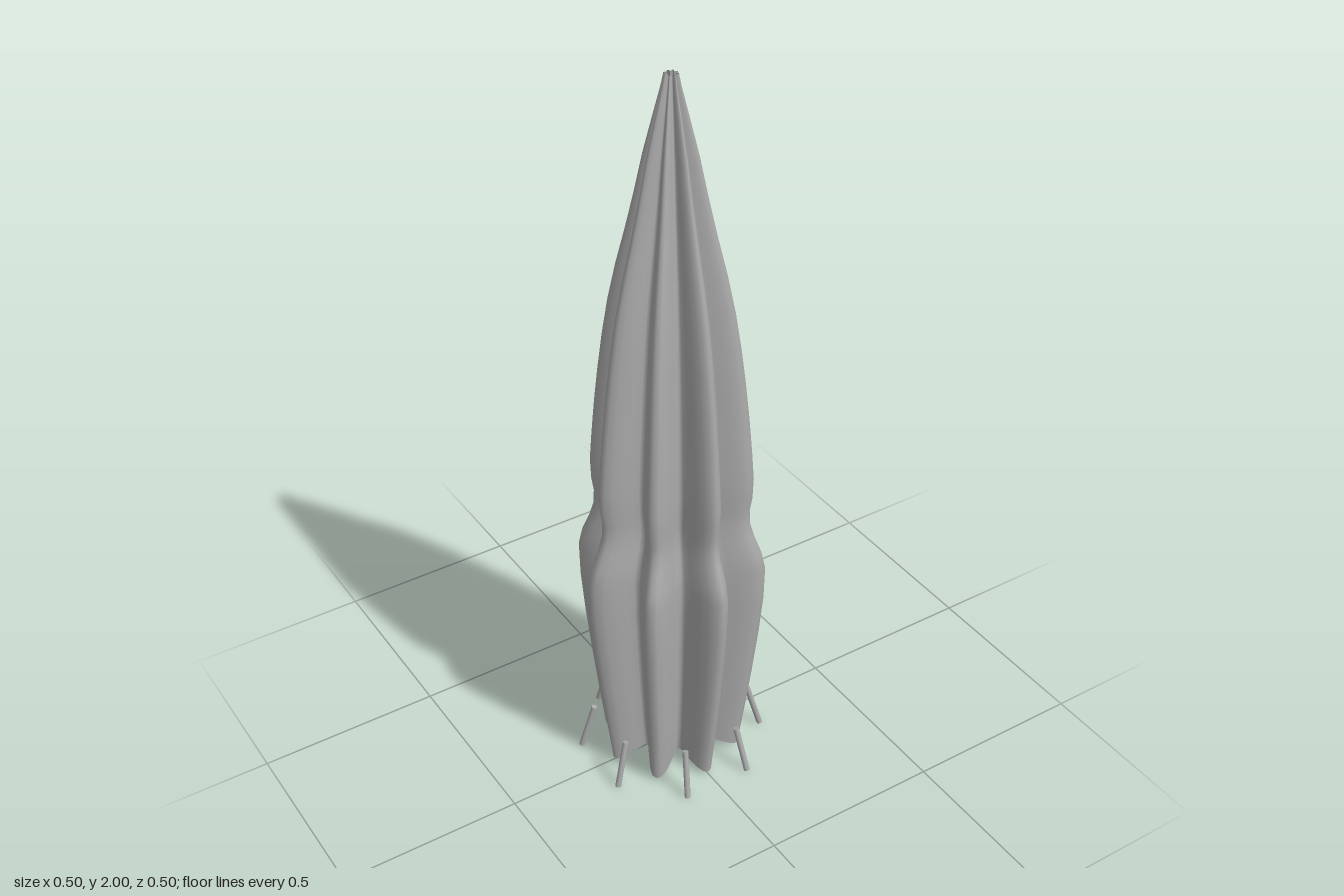
import * as THREE from 'three';

const LOBES = 8, STEPS = 96;

// Ridge radius by height, bottom to top
const PROFILE = [
  [0.01, 0.188], [0.14, 0.205], [0.28, 0.222], [0.42, 0.237], [0.54, 0.247], [0.64, 0.249],
  [0.69, 0.238], [0.74, 0.218], [0.78, 0.206], [0.82, 0.204], [0.86, 0.21], [0.92, 0.212],
  [1.0, 0.206], [1.1, 0.197], [1.2, 0.186], [1.3, 0.173], [1.4, 0.157], [1.5, 0.136],
  [1.6, 0.111], [1.7, 0.088], [1.8, 0.067], [1.9, 0.042], [1.97, 0.024], [2.0, 0.018],
];

// Fluted open shell: every ring is an eight-lobed star, the lower rim is scalloped
function hullGeometry() {
  const pos = [], index = [];
  PROFILE.forEach(([y, radius], ring) => {
    for (let i = 0; i < STEPS; i++) {
      const a = (i / STEPS) * Math.PI * 2;
      const wave = Math.cos(LOBES * a);
      const r = radius * (0.79 + 0.21 * wave);
      const rise = ring === 0 ? 0.02 * (1 - wave) : 0;
      pos.push(r * Math.sin(a), y + rise, r * Math.cos(a));
      if (ring > 0) {
        const j = (i + 1) % STEPS, lo = (ring - 1) * STEPS, hi = ring * STEPS;
        index.push(lo + i, lo + j, hi + j, lo + i, hi + j, hi + i);
      }
    }
  });
  const g = new THREE.BufferGeometry();
  g.setAttribute('position', new THREE.Float32BufferAttribute(pos, 3));
  g.setIndex(index);
  g.computeVertexNormals();
  return g;
}

export function createModel() {
  const group = new THREE.Group();
  const metal = new THREE.MeshStandardMaterial({ color: 0xaaaaaa, side: THREE.DoubleSide });
  metal.name = 'grey metal';

  const hull = new THREE.Mesh(hullGeometry(), metal);
  hull.name = 'hull';
  group.add(hull);

  // Slanted struts standing in the valleys between lobes
  const up = new THREE.Vector3(0, 1, 0);
  for (let k = 0; k < LOBES; k++) {
    const a = ((k + 0.5) / LOBES) * Math.PI * 2;
    const at = (r, y) => new THREE.Vector3(r * Math.sin(a), y, r * Math.cos(a));
    const top = at(0.214, 0.138), foot = at(0.252, 0.004);
    const dir = top.clone().sub(foot);
    const strut = new THREE.Mesh(new THREE.CylinderGeometry(0.008, 0.008, dir.length(), 12), metal);
    strut.position.copy(top).add(foot).multiplyScalar(0.5);
    strut.quaternion.setFromUnitVectors(up, dir.normalize());
    strut.name = 'strut' + (k + 1);
    group.add(strut);
  }

  // Small hatch on the left ridge at the waist
  const hatch = new THREE.Mesh(new THREE.BoxGeometry(0.03, 0.05, 0.05), metal);
  hatch.position.set(0.191, 0.782, 0.002);
  hatch.name = 'hatch';
  group.add(hatch);

  return group;
}
